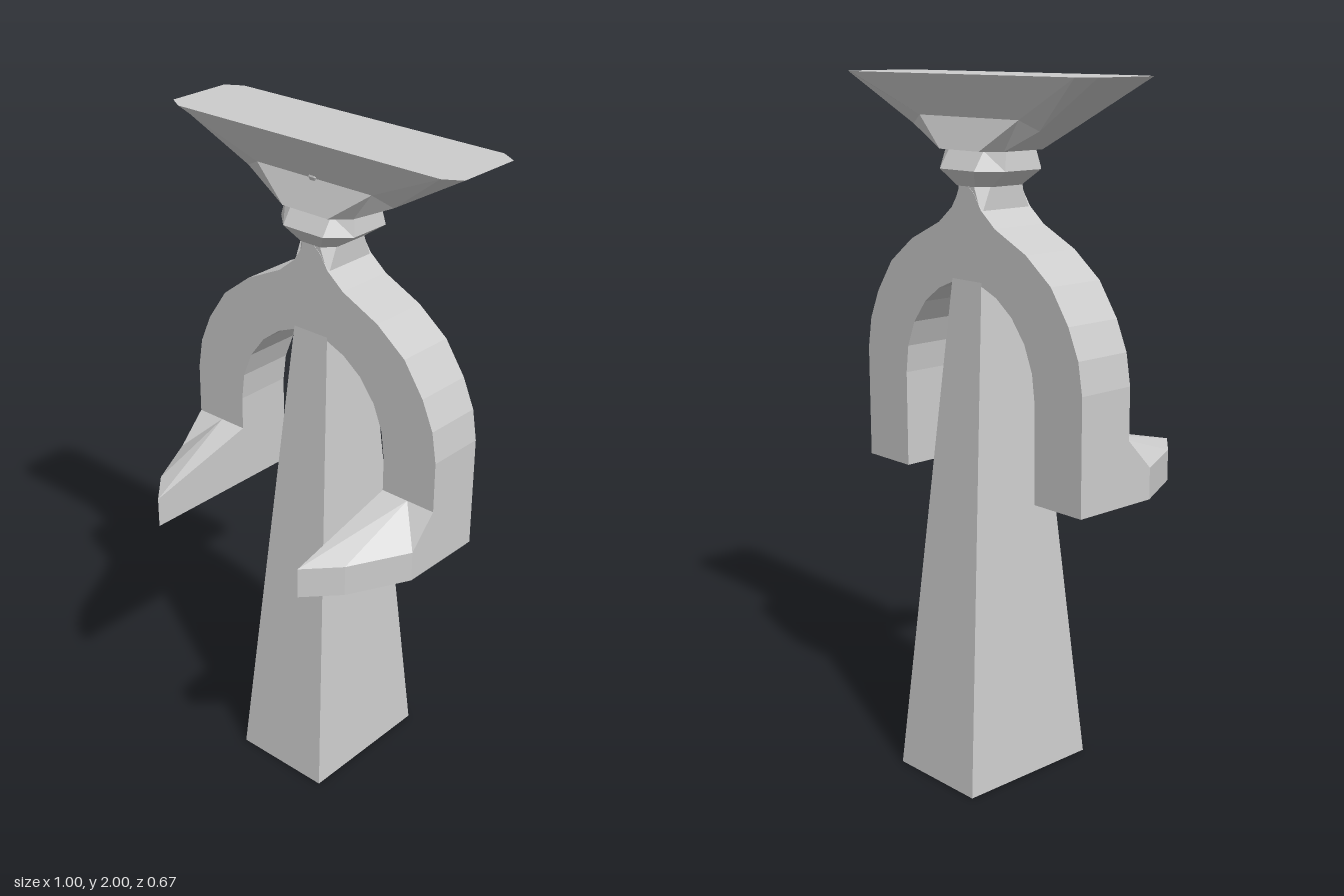
import * as THREE from 'three';

const MID_Z = -0.11;
const material = new THREE.MeshStandardMaterial({ color: 0xcccccc, flatShading: true });

function part(name, geometry) {
  const mesh = new THREE.Mesh(geometry, material);
  mesh.name = name;
  return mesh;
}

// Closed faceted solid through rings of [x, y, z] points, listed bottom to top
function loft(rings) {
  const out = [];
  const tri = (a, b, c) => out.push(...a, ...b, ...c);
  const n = rings[0].length;
  const last = rings[rings.length - 1];
  for (let r = 0; r < rings.length - 1; r++) {
    for (let i = 0; i < n; i++) {
      const j = (i + 1) % n;
      tri(rings[r][i], rings[r + 1][i], rings[r + 1][j]);
      tri(rings[r][i], rings[r + 1][j], rings[r][j]);
    }
  }
  for (let i = 1; i < n - 1; i++) {
    tri(rings[0][0], rings[0][i], rings[0][i + 1]);
    tri(last[0], last[i + 1], last[i]);
  }
  const g = new THREE.BufferGeometry();
  g.setAttribute('position', new THREE.Float32BufferAttribute(out, 3));
  g.computeVertexNormals();
  return g;
}

// Rectangle with cut corners; cx and cz are half lengths of the straight edges
function octagon(hx, hz, cx, cz, y, ySide = y) {
  return [
    [hx, ySide, cz], [cx, y, hz], [-cx, y, hz], [-hx, ySide, cz],
    [-hx, ySide, -cz], [-cx, y, -hz], [cx, y, -hz], [hx, ySide, -cz],
  ].map(([x, yy, z]) => [x, yy, z + MID_Z]);
}

function rectangle(hx, hz, y) {
  return [[hx, y, hz], [-hx, y, hz], [-hx, y, -hz], [hx, y, -hz]]
    .map(([x, yy, z]) => [x, yy, z + MID_Z]);
}

function archGeometry() {
  // Right half outline: outer edge upward to the peak
  const outer = [
    [0.447, 0.87], [0.447, 1.2], [0.432, 1.29], [0.395, 1.375], [0.33, 1.47],
    [0.235, 1.543], [0.115, 1.6], [0.06, 1.645], [0.03, 1.69], [0.01, 1.705],
  ];
  // Inner edge from the crown down
  const inner = [
    [0.06, 1.44], [0.12, 1.415], [0.18, 1.37], [0.23, 1.305],
    [0.26, 1.23], [0.27, 1.15], [0.27, 0.87],
  ];
  const flip = (pts) => pts.map(([x, y]) => [-x, y]).reverse();
  const outline = [...outer, ...flip(outer), ...flip(inner), ...inner];
  const shape = new THREE.Shape(outline.map(([x, y]) => new THREE.Vector2(x, y)));
  const g = new THREE.ExtrudeGeometry(shape, { depth: 0.18, bevelEnabled: false });
  return g.translate(0, 0, -0.2);
}

// Forward pointing hand with a sloped top, angled on the outside
function handGeometry() {
  const plan = [
    [0.357, -0.02, 1.05], [0.447, -0.02, 1.05], [0.447, 0.065, 0.96],
    [0.357, 0.24, 0.96], [0.27, 0.333, 0.96], [0.27, -0.02, 1.05],
  ];
  return loft([
    plan.map(([x, z]) => [x, 0.87, z]),
    plan.map(([x, z, top]) => [x, top, z]),
  ]);
}

export function createModel() {
  const model = new THREE.Group();
  model.name = 'figure';

  // Tapering body
  model.add(part('body', loft([rectangle(0.157, 0.223, 0), rectangle(0.06, 0.09, 1.45)])));

  // Shoulders and arms in one arch
  model.add(part('arms', archGeometry()));

  // Hands
  for (const side of [1, -1]) {
    const hand = part(side > 0 ? 'leftHand' : 'rightHand', handGeometry());
    hand.scale.x = side;
    model.add(hand);
  }

  // Neck
  model.add(part('neck', loft([
    octagon(0.062, 0.089, 0.045, 0.089, 1.63),
    octagon(0.062, 0.089, 0.03, 0.055, 1.71),
  ])));

  // Faceted collar
  model.add(part('collar', loft([
    octagon(0.065, 0.09, 0.035, 0.055, 1.705),
    octagon(0.13, 0.122, 0.07, 0.065, 1.75),
    octagon(0.122, 0.088, 0.07, 0.055, 1.802),
  ])));

  // Wide flaring head, pinched at the waist
  model.add(part('head', loft([
    octagon(0.13, 0.114, 0.08, 0.07, 1.802),
    octagon(0.255, 0.083, 0.2, 0.06, 1.887, 1.86),
    octagon(0.5, 0.13, 0.45, 0.1, 2),
  ])));

  // Small bump on the front of the head
  const bump = part('bump', new THREE.SphereGeometry(0.022, 6, 4));
  bump.position.set(0, 1.89, -0.032);
  bump.scale.set(1, 0.7, 0.5);
  model.add(bump);

  return model;
}
